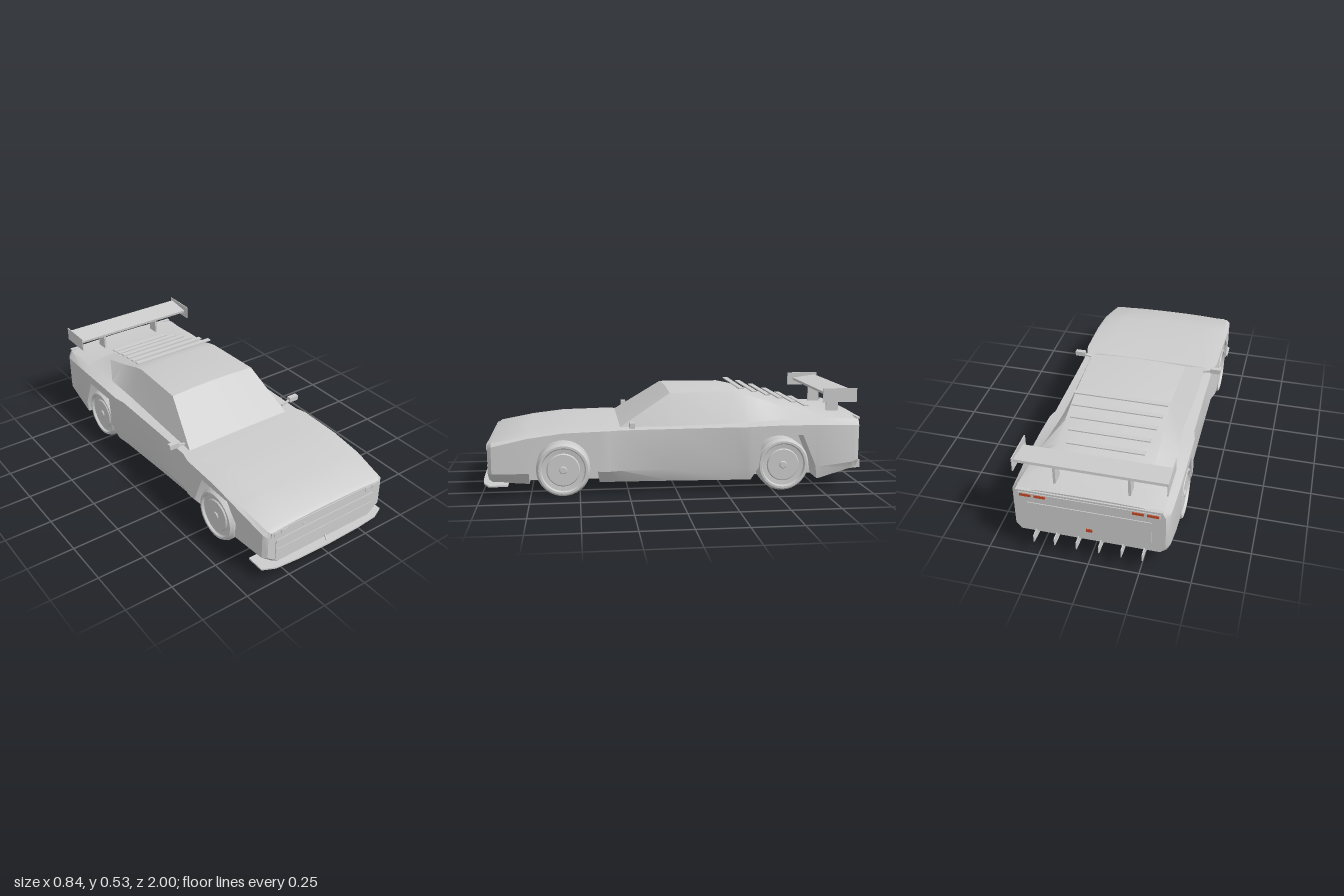
import * as THREE from 'three';
import { toCreasedNormals } from 'three/addons/utils/BufferGeometryUtils.js';

const paint = new THREE.MeshStandardMaterial({ color: 0xcccccc });
paint.name = 'greyPaint';
const lampRed = new THREE.MeshStandardMaterial({ color: 0xc84a28 });
lampRed.name = 'lampRed';

// Body stations, rear to front:
// z, floorY, sillX, sideX, shoulderY, beltX, beltY, roofX, roofY
const STATIONS = [
  [-0.955, 0.12, 0.34, 0.365, 0.335, 0.35, 0.365, 0.25, 0.382],
  [-0.92, 0.11, 0.365, 0.382, 0.34, 0.355, 0.37, 0.25, 0.383],
  [-0.74, 0.06, 0.375, 0.388, 0.345, 0.345, 0.37, 0.25, 0.388],
  [-0.5, 0.06, 0.375, 0.388, 0.345, 0.325, 0.362, 0.25, 0.45],
  [-0.36, 0.06, 0.37, 0.386, 0.34, 0.318, 0.352, 0.247, 0.492],
  [-0.3, 0.06, 0.362, 0.372, 0.338, 0.316, 0.348, 0.246, 0.505],
  [0.03, 0.06, 0.345, 0.37, 0.336, 0.325, 0.342, 0.258, 0.505],
  [0.29, 0.06, 0.335, 0.37, 0.334, 0.33, 0.337, 0.295, 0.338],
  [0.35, 0.06, 0.335, 0.386, 0.334, 0.345, 0.338, 0.28, 0.34],
  [0.58, 0.06, 0.335, 0.388, 0.328, 0.365, 0.333, 0.26, 0.339],
  [0.76, 0.06, 0.33, 0.388, 0.304, 0.368, 0.312, 0.25, 0.32],
  [0.94, 0.068, 0.305, 0.375, 0.262, 0.355, 0.28, 0.2, 0.288],
  [0.96, 0.078, 0.29, 0.355, 0.245, 0.34, 0.268, 0.2, 0.275],
];

// Top edge of the angular wheel openings: z, y
const ARCHES = [
  [-0.73, 0], [-0.72, 0.13], [-0.65, 0.295], [-0.44, 0.295], [-0.42, 0.13], [-0.38, 0],
  [0.40, 0], [0.41, 0.13], [0.476, 0.295], [0.685, 0.295], [0.753, 0.21], [0.755, 0],
];

function sample(table, z) {
  if (z <= table[0][0]) return table[0];
  for (let i = 1; i < table.length; i++) {
    const a = table[i - 1], b = table[i];
    if (z <= b[0]) return a.map((v, k) => v + (b[k] - v) * (z - a[0]) / (b[0] - a[0]));
  }
  return table[table.length - 1];
}

// One closed cross-section, running up the left side and down the right
function section(z) {
  const [, floor, sillX, sideX, shoulderY, beltX, beltY, roofX, roofY] = sample(STATIONS, z);
  const arch = Math.max(floor, sample(ARCHES, z)[1]);
  const creaseY = Math.max(0.125, floor + 0.035);
  const rise = 0.003 + 0.04 * Math.max(0, roofY - 0.34);
  const half = [
    [0, floor], [0.25, floor], [0.25, arch], [arch > creaseY ? sideX : sillX, arch],
    [sideX, Math.max(creaseY, arch)], [sideX, shoulderY], [beltX, beltY], [roofX, roofY],
    [roofX * 0.5, roofY + rise * 0.75], [0, roofY + rise],
  ];
  const mirrored = half.slice(1, -1).reverse().map(([x, y]) => [-x, y]);
  return [...half, ...mirrored].map(([x, y]) => new THREE.Vector3(x, y, z));
}

function bodyGeometry() {
  const zs = [...new Set([...STATIONS, ...ARCHES].map((r) => r[0]))].sort((a, b) => a - b);
  const rings = zs.map(section);
  const n = rings[0].length, pos = [];
  const tri = (a, b, c) => {
    const area = b.clone().sub(a).cross(c.clone().sub(a)).length();
    if (area > 1e-9) for (const p of [a, b, c]) pos.push(p.x, p.y, p.z);
  };
  for (let i = 0; i < rings.length - 1; i++) {
    for (let j = 0; j < n; j++) {
      const k = (j + 1) % n, r = rings[i], s = rings[i + 1];
      tri(r[j], r[k], s[k]);
      tri(r[j], s[k], s[j]);
    }
  }
  const first = rings[0], last = rings[rings.length - 1];
  const back = new THREE.Vector3(0, 0.24, zs[0]);
  const nose = new THREE.Vector3(0, 0.18, zs[zs.length - 1]);
  for (let j = 0; j < n; j++) {
    const k = (j + 1) % n;
    tri(back, first[k], first[j]);
    tri(nose, last[j], last[k]);
  }
  const g = new THREE.BufferGeometry();
  g.setAttribute('position', new THREE.Float32BufferAttribute(pos, 3));
  return toCreasedNormals(g, 0.45);
}

export function createModel() {
  const car = new THREE.Group();
  car.name = 'sportsCar';

  const add = (name, geometry, material = paint) => {
    const m = new THREE.Mesh(geometry, material);
    m.name = name;
    car.add(m);
    return m;
  };
  const box = (name, w, h, d, x, y, z, material = paint) => {
    const m = add(name, new THREE.BoxGeometry(w, h, d), material);
    m.position.set(x, y, z);
    return m;
  };
  const extrude = (points, depth) => new THREE.ExtrudeGeometry(
    new THREE.Shape(points.map(([x, y]) => new THREE.Vector2(x, y))), { depth, bevelEnabled: false });

  add('body', bodyGeometry());

  // Wheels: tyre, stepped rim and hub in one turned profile
  const wheelProfile = [
    [0, -0.05], [0.1, -0.05], [0.112, -0.058], [0.125, -0.058], [0.137, -0.04],
    [0.137, 0.04], [0.125, 0.06], [0.114, 0.06], [0.108, 0.048], [0.085, 0.045],
    [0.08, 0.052], [0.02, 0.052], [0.016, 0.058], [0, 0.058],
  ].map(([r, h]) => new THREE.Vector2(r, h));
  const wheelGeometry = toCreasedNormals(new THREE.LatheGeometry(wheelProfile, 36), 0.4);
  for (const side of [1, -1]) {
    for (const [name, z] of [['frontWheel', 0.583], ['rearWheel', -0.55]]) {
      const wheel = add(name, wheelGeometry);
      wheel.rotation.z = -side * Math.PI / 2;
      wheel.position.set(side * 0.325, 0.137, z);
    }
  }

  // Nose: headlamp panel, grille and small marker
  box('headlampPanel', 0.68, 0.03, 0.006, 0, 0.254, 0.961);
  box('grillePanel', 0.62, 0.115, 0.006, 0, 0.156, 0.961);
  box('grilleBar', 0.61, 0.008, 0.008, 0, 0.155, 0.963);
  box('noseMarker', 0.02, 0.006, 0.008, -0.14, 0.235, 0.961);
  for (const x of [-0.31, -0.265, 0.265, 0.31]) {
    box('headlamp', 0.034, 0.02, 0.006, x, 0.254, 0.964);
  }

  // Front splitter with its centre stay
  const splitter = add('splitter', extrude([
    [-0.385, -0.955], [-0.32, -0.985], [-0.2, -0.995], [0, -1], [0.2, -0.995],
    [0.32, -0.985], [0.385, -0.955], [0.385, -0.86], [-0.385, -0.86],
  ], 0.008));
  splitter.rotation.x = -Math.PI / 2;
  splitter.position.y = 0.061;
  const stay = box('splitterStay', 0.007, 0.04, 0.006, 0, 0.084, 0.97);
  stay.rotation.x = -0.6;

  // Mirrors
  for (const side of [1, -1]) {
    box('mirror', 0.056, 0.027, 0.025, side * 0.392, 0.363, 0.235);
    const arm = box('mirrorArm', 0.06, 0.008, 0.012, side * 0.345, 0.352, 0.235);
    arm.rotation.z = side * 0.25;
  }

  // Rear window louvres
  [0.521, 0.502, 0.482, 0.461, 0.438, 0.415].forEach((y, i) => {
    box('louvre', 0.49 - i * 0.025, 0.006, 0.027, 0, y, -0.35 - i * 0.074);
  });

  // Rear wing
  const wing = box('wing', 0.73, 0.014, 0.135, 0, 0.502, -0.855);
  wing.rotation.x = 0.13;
  for (const side of [1, -1]) {
    box('wingEndPlate', 0.005, 0.073, 0.18, side * 0.365, 0.495, -0.845);
    box('wingSupport', 0.012, 0.12, 0.065, side * 0.18, 0.438, -0.862);
  }

  // Tail panel and lamps
  box('tailLip', 0.7, 0.01, 0.02, 0, 0.372, -0.953);
  box('lampStrip', 0.68, 0.026, 0.006, 0, 0.345, -0.956);
  box('tailPanel', 0.6, 0.13, 0.006, 0, 0.235, -0.956);
  for (const x of [-0.305, -0.235, 0.235, 0.305]) {
    box('tailLamp', 0.055, 0.014, 0.006, x, 0.345, -0.959, lampRed);
  }
  box('fogLamp', 0.03, 0.018, 0.006, 0, 0.185, -0.959, lampRed);

  // Diffuser fins
  const fin = extrude([[0.74, 0.065], [1, 0.088], [1, 0.13], [0.86, 0.13]], 0.005);
  for (const x of [-0.265, -0.163, -0.055, 0.055, 0.163, 0.265]) {
    const m = add('diffuserFin', fin);
    m.rotation.y = Math.PI / 2;
    m.position.x = x - 0.0025;
  }

  return car;
}
